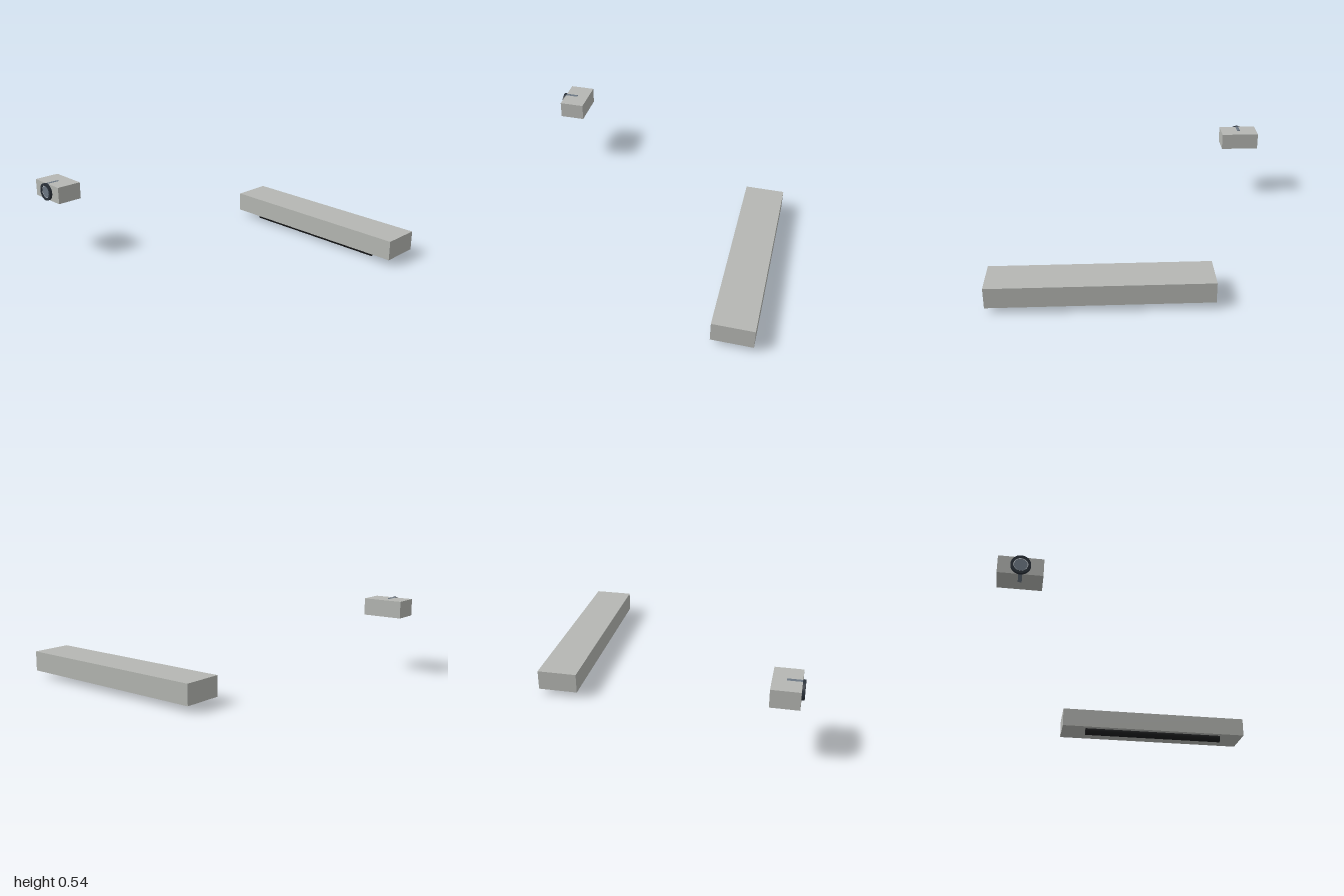
import * as THREE from 'three';

const material = (name, color) => {
  const m = new THREE.MeshStandardMaterial({ color });
  m.name = name;
  return m;
};

export function createModel() {
  const group = new THREE.Group();
  const grey = material('warm grey casing', 0xb5b7b3);
  const black = material('black bar', 0x1c1d1e);
  const navy = material('dark rim', 0x2a313a);
  const steel = material('blue grey barrel', 0x6c7783);
  const silver = material('pale trim', 0xc3c9cf);

  const add = (name, geometry, mat, x, y, z) => {
    const mesh = new THREE.Mesh(geometry, mat);
    mesh.name = name;
    mesh.position.set(x, y, z);
    group.add(mesh);
    return mesh;
  };

  // Long casing with a round bar half sunk into its underside
  add('longCasing', new THREE.BoxGeometry(1.458, 0.14, 0.278), grey, 0.27, 0.114, -0.789);
  add('roundBar', new THREE.CylinderGeometry(0.031, 0.031, 1.09, 32).rotateZ(Math.PI / 2),
    black, 0.269, 0.034, -0.717).position.y = 0.031;

  // Small casing holding a barrel that just breaks its top and bottom
  const x = -0.858, y = 0.478;
  add('smallCasing', new THREE.BoxGeometry(0.284, 0.12, 0.182), grey, x, y, 0.819);
  add('barrel', new THREE.CylinderGeometry(0.0614, 0.0614, 0.105, 48).rotateX(Math.PI / 2),
    steel, x, y, 0.8675);

  // Rim: closed square ring turned about the barrel axis
  const rimProfile = [[0.046, 0], [0.063, 0], [0.063, 0.018], [0.046, 0.018], [0.046, 0]]
    .map(([r, h]) => new THREE.Vector2(r, h));
  const rim = new THREE.LatheGeometry(rimProfile, 48).rotateX(Math.PI / 2).toNonIndexed();
  rim.computeVertexNormals();
  add('rim', rim, navy, x, y, 0.91);
  add('trimRing', new THREE.RingGeometry(0.041, 0.046, 48), silver, x, y, 0.9225);
  add('lensFace', new THREE.CircleGeometry(0.0412, 48), steel, x, y, 0.9225);

  return group;
}
